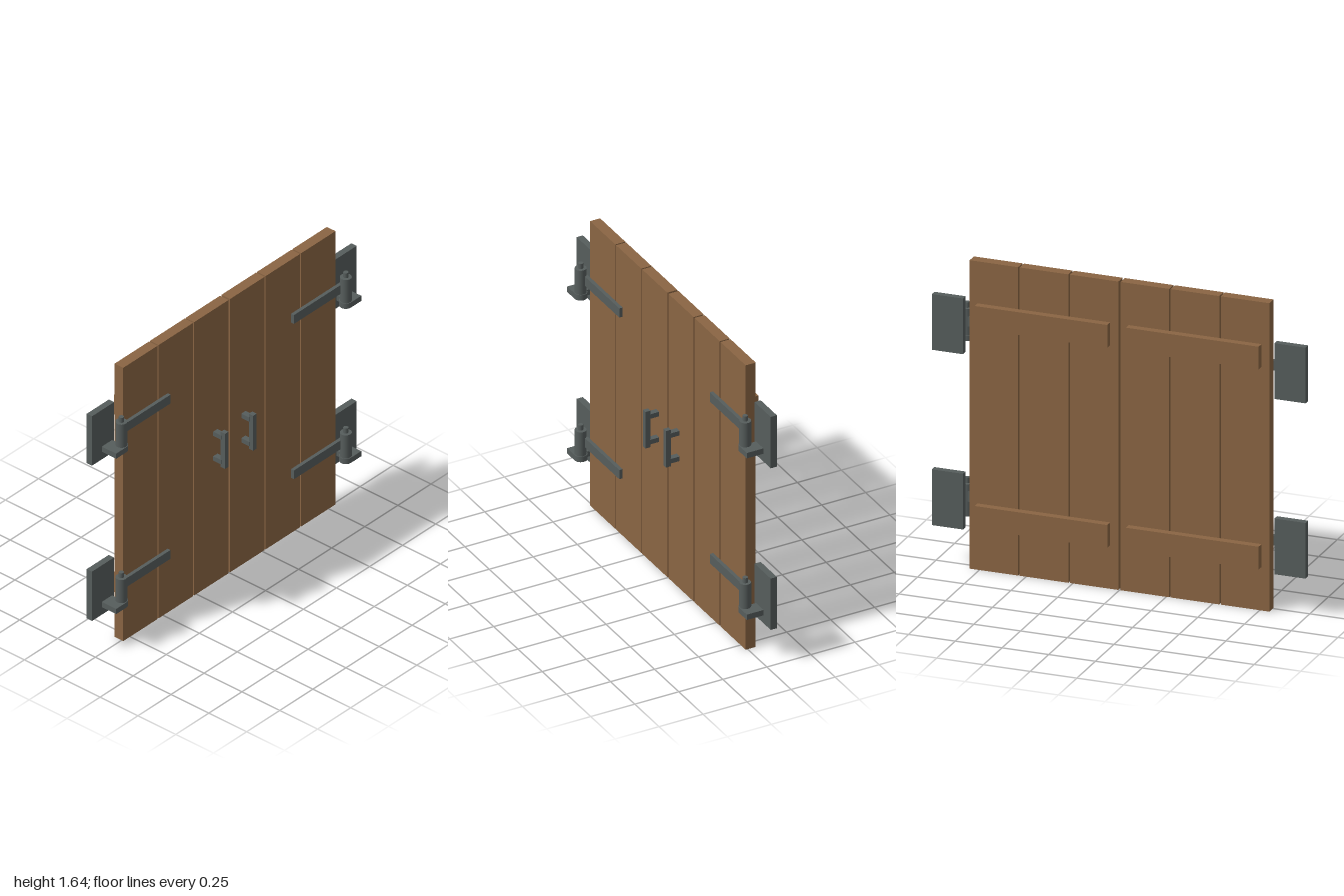
import * as THREE from 'three';

const wood = new THREE.MeshStandardMaterial({ color: 0x8a6543 });
const iron = new THREE.MeshStandardMaterial({ color: 0x565d5c });

// Box given by its extents; side (+1 / -1) mirrors it in x
function box(parent, name, mat, side, [x0, x1], [y0, y1], [z0, z1]) {
  const mesh = new THREE.Mesh(new THREE.BoxGeometry(x1 - x0, y1 - y0, z1 - z0), mat);
  mesh.position.set(side * (x0 + x1) / 2, (y0 + y1) / 2, (z0 + z1) / 2);
  mesh.name = name;
  parent.add(mesh);
}

// Upright cylinder between two heights
function post(parent, name, r, x, [y0, y1], z) {
  const mesh = new THREE.Mesh(new THREE.CylinderGeometry(r, r, y1 - y0, 24), iron);
  mesh.position.set(x, (y0 + y1) / 2, z);
  mesh.name = name;
  parent.add(mesh);
}

// Wall plate, bracket, pin, barrel and strap; y is the bottom of the plate
function createHinge(side, y) {
  const hinge = new THREE.Group();
  hinge.name = 'hinge';
  const px = 0.848, pz = 0.039;
  box(hinge, 'wallPlate', iron, side, [0.833, 1], [y, y + 0.297], [-0.057, -0.022]);
  box(hinge, 'bracket', iron, side, [px, 0.926], [y + 0.046, y + 0.077], [-0.022, 0.073]);
  post(hinge, 'bracketEnd', 0.034, side * px, [y + 0.046, y + 0.077], pz);
  post(hinge, 'pin', 0.013, side * px, [y + 0.06, y + 0.245], pz);
  post(hinge, 'barrel', 0.03, side * px, [y + 0.077, y + 0.216], pz);
  box(hinge, 'strap', iron, side, [0.466, 0.835], [y + 0.124, y + 0.177], [0.011, 0.03]);
  return hinge;
}

function createHandle(side) {
  const handle = new THREE.Group();
  handle.name = 'handle';
  box(handle, 'grip', iron, side, [0.093, 0.119], [0.72, 0.931], [0.058, 0.087]);
  for (const y of [0.738, 0.886]) {
    box(handle, 'handlePost', iron, side, [0.09, 0.122], [y, y + 0.026], [0.01, 0.062]);
  }
  return handle;
}

function createDoor(side) {
  const door = new THREE.Group();
  door.name = side > 0 ? 'leftDoor' : 'rightDoor';
  // Three planks with narrow gaps
  for (let i = 0; i < 3; i++) {
    const x = 0.006 + i * 0.268;
    box(door, 'plank', wood, side, [x, x + 0.26], [0, 1.645], [-0.046, 0.011]);
  }
  // Battens across the back
  for (const y of [0.232, 1.299]) {
    box(door, 'batten', wood, side, [0.05, 0.76], [y, y + 0.122], [-0.085, -0.046]);
  }
  for (const y of [0.208, 1.143]) door.add(createHinge(side, y));
  door.add(createHandle(side));
  return door;
}

export function createModel() {
  const model = new THREE.Group();
  model.name = 'doubleDoor';
  for (const side of [1, -1]) model.add(createDoor(side));
  return model;
}
